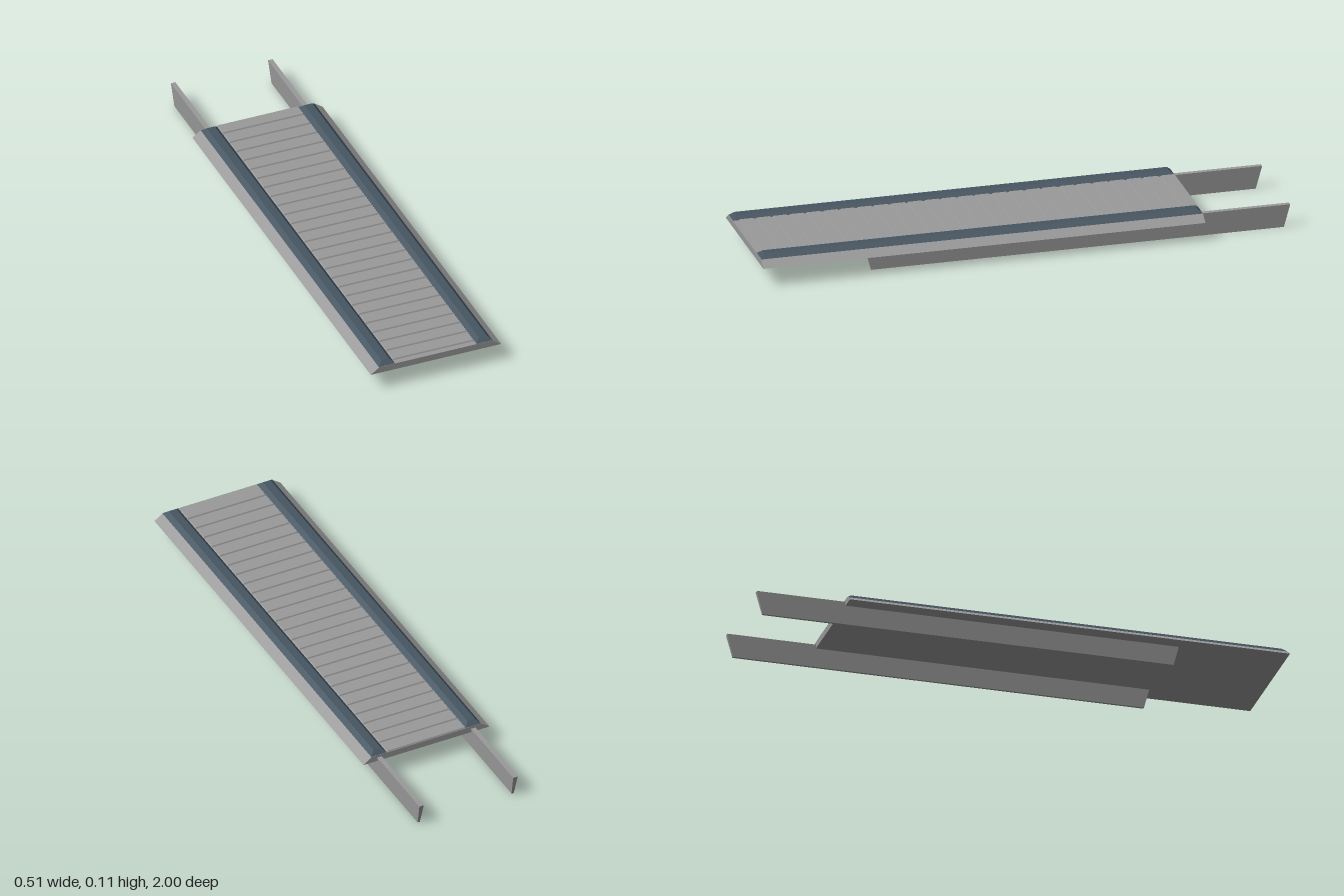
import * as THREE from 'three';

// Tapered block: bottom and top each given as [width, depth]
function frustum(bottom, top, y0, y1) {
  const g = new THREE.BoxGeometry(1, 1, 1).toNonIndexed();
  const p = g.attributes.position;
  for (let i = 0; i < p.count; i++) {
    const up = p.getY(i) > 0;
    const [w, d] = up ? top : bottom;
    p.setXYZ(i, p.getX(i) * w, up ? y1 : y0, p.getZ(i) * d);
  }
  g.computeVertexNormals();
  return g;
}

export function createModel() {
  const model = new THREE.Group();
  model.name = 'rampWalkway';
  const grey = new THREE.MeshStandardMaterial({ color: 0x999999 });
  grey.name = 'grey metal';
  const slate = new THREE.MeshStandardMaterial({ color: 0x455561 });
  slate.name = 'dark slate';

  const add = (name, geometry, material, x, z) => {
    const mesh = new THREE.Mesh(geometry, material);
    mesh.name = name;
    mesh.position.set(x, 0, z);
    model.add(mesh);
  };

  // Deck with sloping long sides
  const length = 1.665, midZ = 0.1675;
  add('deck', frustum([0.514, length], [0.444, length], 0.073, 0.098), grey, 0, midZ);

  // Raised treads across the deck
  const tread = frustum([0.322, 0.056], [0.314, 0.05], 0.097, 0.103);
  for (let i = 0; i < 26; i++) add('tread', tread, grey, 0, 0.95 - i * 0.0635);

  // Bevelled kerbs and the long runners beneath
  const kerb = frustum([0.064, length], [0.031, length - 0.036], 0.097, 0.113);
  const runner = frustum([0.009, 1.555], [0.018, 1.6], 0, 0.088);
  for (const [side, s] of [['left', 1], ['right', -1]]) {
    add(side + 'Kerb', kerb, slate, s * 0.192, midZ);
    add(side + 'Runner', runner, grey, s * 0.1915, -0.2);
  }
  return model;
}
